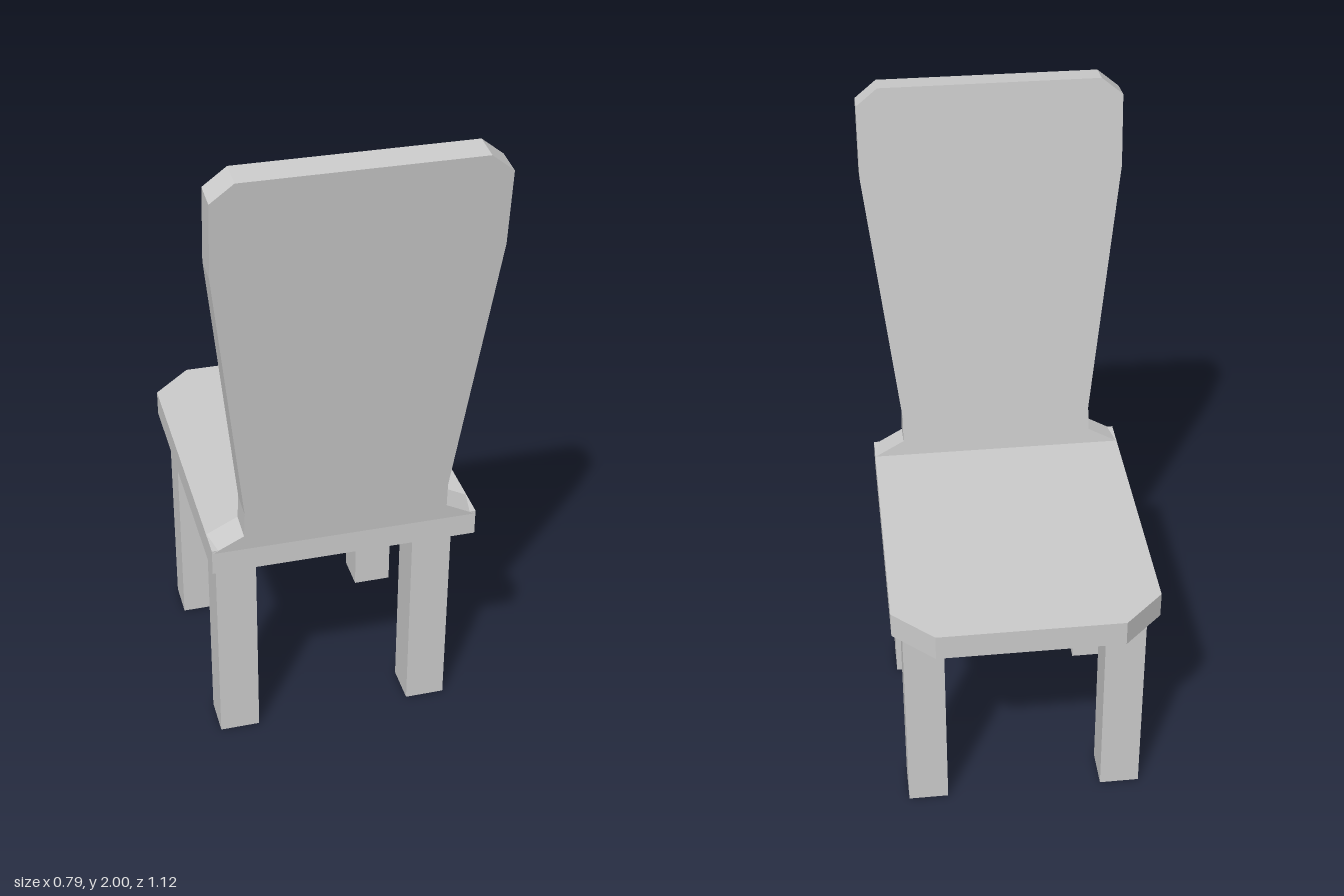
import * as THREE from 'three';

const material = new THREE.MeshStandardMaterial({ color: 0xcccccc, flatShading: true });

// Extrudes a left-right symmetric outline given by its +x half, bottom to top.
function mirroredPlate(half, depth) {
  const points = [
    ...half.map(([x, y]) => new THREE.Vector2(x, y)),
    ...[...half].reverse().map(([x, y]) => new THREE.Vector2(-x, y)),
  ];
  return new THREE.ExtrudeGeometry(new THREE.Shape(points), { depth, bevelEnabled: false });
}

function addPart(group, name, geometry, x = 0, y = 0, z = 0) {
  const mesh = new THREE.Mesh(geometry, material);
  mesh.name = name;
  mesh.position.set(x, y, z);
  group.add(mesh);
  return mesh;
}

export function createModel() {
  const chair = new THREE.Group();
  chair.name = 'chair';

  // Seat slab, with two clipped corners at the end away from the backrest
  const seat = mirroredPlate([[0.395, -0.43], [0.395, 0.445], [0.275, 0.56]], 0.08);
  seat.rotateX(-Math.PI / 2);
  addPart(chair, 'seat', seat, 0, 0.71, 0);

  // Leaning backrest: flared foot, narrow neck, wide top with clipped corners
  const backrest = mirroredPlate([
    [0.393, 0], [0.302, 0.05], [0.3, 0.13], [0.395, 0.945], [0.395, 1.165], [0.33, 1.217],
  ], 0.085);
  addPart(chair, 'backrest', backrest, 0, 0.79, 0.346).rotation.x = 0.107;

  // Four square legs
  const leg = new THREE.BoxGeometry(0.122, 0.71, 0.122);
  for (const [end, z] of [['back', 0.256], ['front', -0.348]]) {
    for (const [side, x] of [['Left', 0.302], ['Right', -0.304]]) {
      addPart(chair, `${end}${side}Leg`, leg, x, 0.355, z);
    }
  }
  return chair;
}
